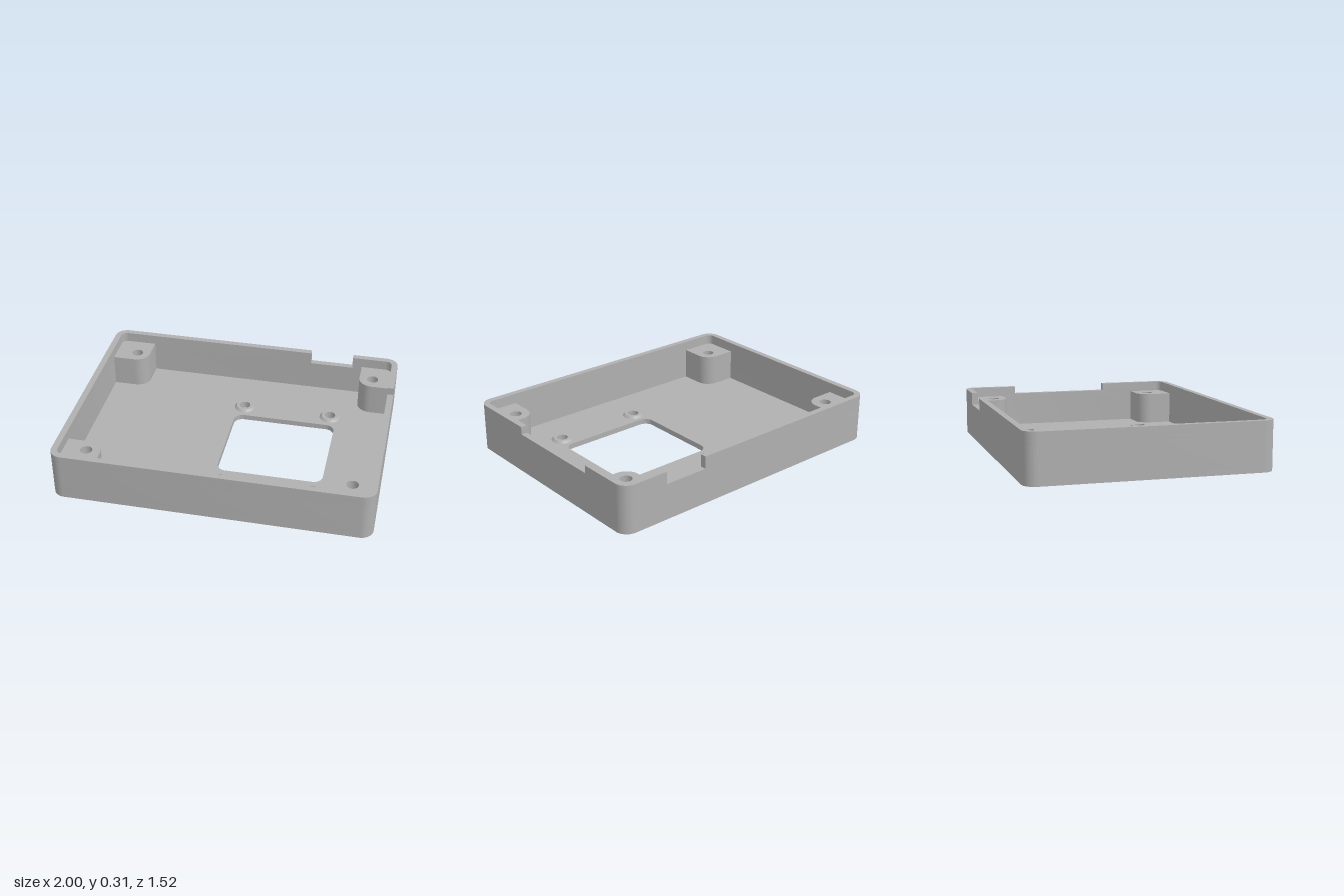
import * as THREE from 'three';
import { toCreasedNormals } from 'three/addons/utils/BufferGeometryUtils.js';

const HX = 1, HZ = 0.76, R = 0.08, WALL = 0.04;
const FLOOR = 0.035, POST_TOP = 0.245, BOSS_TOP = 0.05;
const BACK_SILL = 0.23, SIDE_SILL = 0.26, RIM = 0.31;

// Plan shapes are drawn in (x, -z) and extruded upward
function rounded(Path, x0, y0, x1, y1, r) {
  const p = new Path();
  p.moveTo(x0 + r, y0);
  p.lineTo(x1 - r, y0);
  p.absarc(x1 - r, y0 + r, r, -Math.PI / 2, 0, false);
  p.lineTo(x1, y1 - r);
  p.absarc(x1 - r, y1 - r, r, 0, Math.PI / 2, false);
  p.lineTo(x0 + r, y1);
  p.absarc(x0 + r, y1 - r, r, Math.PI / 2, Math.PI, false);
  p.lineTo(x0, y0 + r);
  p.absarc(x0 + r, y0 + r, r, Math.PI, Math.PI * 1.5, false);
  return p;
}

function circle(Path, x, y, r) {
  const p = new Path();
  p.absarc(x, y, r, 0, Math.PI * 2, false);
  return p;
}

// Strip of wall running counter-clockwise through the listed corners.
// Ends are [x, y, normalX, normalY] on the outer face.
function wallStrip(from, corners, to) {
  const outer = [from];
  for (const c of corners) {
    const cx = (c === 0 || c === 3 ? 1 : -1) * (HX - R);
    const cy = (c < 2 ? 1 : -1) * (HZ - R);
    for (let i = 0; i <= 10; i++) {
      const a = (c + i / 10) * Math.PI / 2;
      const nx = Math.cos(a), ny = Math.sin(a);
      outer.push([cx + R * nx, cy + R * ny, nx, ny]);
    }
  }
  outer.push(to);
  const inner = outer.map(([x, y, nx, ny]) => [x - WALL * nx, y - WALL * ny]).reverse();
  return new THREE.Shape([...outer, ...inner].map(([x, y]) => new THREE.Vector2(x, y)));
}

export function createModel() {
  const group = new THREE.Group();
  group.name = 'enclosureBase';
  const grey = new THREE.MeshStandardMaterial({ color: 0xb0b0b0 });
  grey.name = 'grey plastic';

  function slab(name, shape, y0, y1) {
    let geo = new THREE.ExtrudeGeometry(shape, { depth: y1 - y0, bevelEnabled: false, curveSegments: 10 });
    geo.rotateX(-Math.PI / 2);
    geo.translate(0, y0, 0);
    geo = toCreasedNormals(geo, 0.7);
    const mesh = new THREE.Mesh(geo, grey);
    mesh.name = name;
    group.add(mesh);
  }

  const posts = [];
  for (const x of [-0.815, 0.845]) for (const y of [-0.575, 0.58]) posts.push([x, y]);
  const bosses = [];
  for (const x of [0, 0.59]) for (const y of [-0.435, 0.38]) bosses.push([x, y]);

  // Floor with square window and screw holes
  const floor = rounded(THREE.Shape, -HX, -HZ, HX, HZ, R);
  floor.holes.push(rounded(THREE.Path, -0.045, -0.34, 0.635, 0.28, 0.06));
  for (const [x, y] of posts) floor.holes.push(circle(THREE.Path, x, y, 0.038));
  for (const [x, y] of bosses) floor.holes.push(circle(THREE.Path, x, y, 0.036));
  slab('floor', floor, 0, FLOOR);

  // Continuous lower wall
  const wall = rounded(THREE.Shape, -HX, -HZ, HX, HZ, R);
  wall.holes.push(rounded(THREE.Path, -HX + WALL, -HZ + WALL, HX - WALL, HZ - WALL, R - WALL));
  slab('lowerWall', wall, FLOOR, BACK_SILL);

  // Upper wall, interrupted by the back notch and the shallower side notch
  const backNear = [0.69, HZ, 0, 1], backFar = [0.4, HZ, 0, 1];
  const sideBack = [HX, 0.4, 1, 0], sideFront = [HX, -0.265, 1, 0];
  slab('middleWall', wallStrip(backFar, [1, 2, 3, 0], backNear), BACK_SILL, SIDE_SILL);
  slab('upperWall', wallStrip(backFar, [1, 2, 3], sideFront), SIDE_SILL, RIM);
  slab('upperWallCorner', wallStrip(sideBack, [0], backNear), SIDE_SILL, RIM);

  // Corner screw posts with one rounded edge facing inward
  for (const [x, y] of posts) {
    const sx = Math.sign(x), sy = Math.sign(y), r = 0.09;
    const ex = sx * 0.965, ey = sy * 0.725;
    const pts = [[ex, ey], [ex, y - sy * r]];
    for (let i = 0; i <= 10; i++) {
      const a = i / 10 * Math.PI / 2;
      pts.push([x - sx * r * Math.sin(a), y - sy * r * Math.cos(a)]);
    }
    pts.push([x - sx * r, ey]);
    const post = new THREE.Shape(pts.map(p => new THREE.Vector2(...p)));
    post.holes.push(circle(THREE.Path, x, y, 0.038));
    slab('screwPost', post, FLOOR, POST_TOP);
  }

  // Low ring bosses around the window, with a sloped outer edge
  const profile = [[0.036, FLOOR], [0.07, FLOOR], [0.056, BOSS_TOP], [0.036, BOSS_TOP], [0.036, FLOOR]];
  const ring = toCreasedNormals(
    new THREE.LatheGeometry(profile.map(p => new THREE.Vector2(...p)), 40).toNonIndexed(), 0.4);
  for (const [x, y] of bosses) {
    const boss = new THREE.Mesh(ring, grey);
    boss.name = 'mountBoss';
    boss.position.set(x, 0, -y);
    group.add(boss);
  }
  return group;
}
